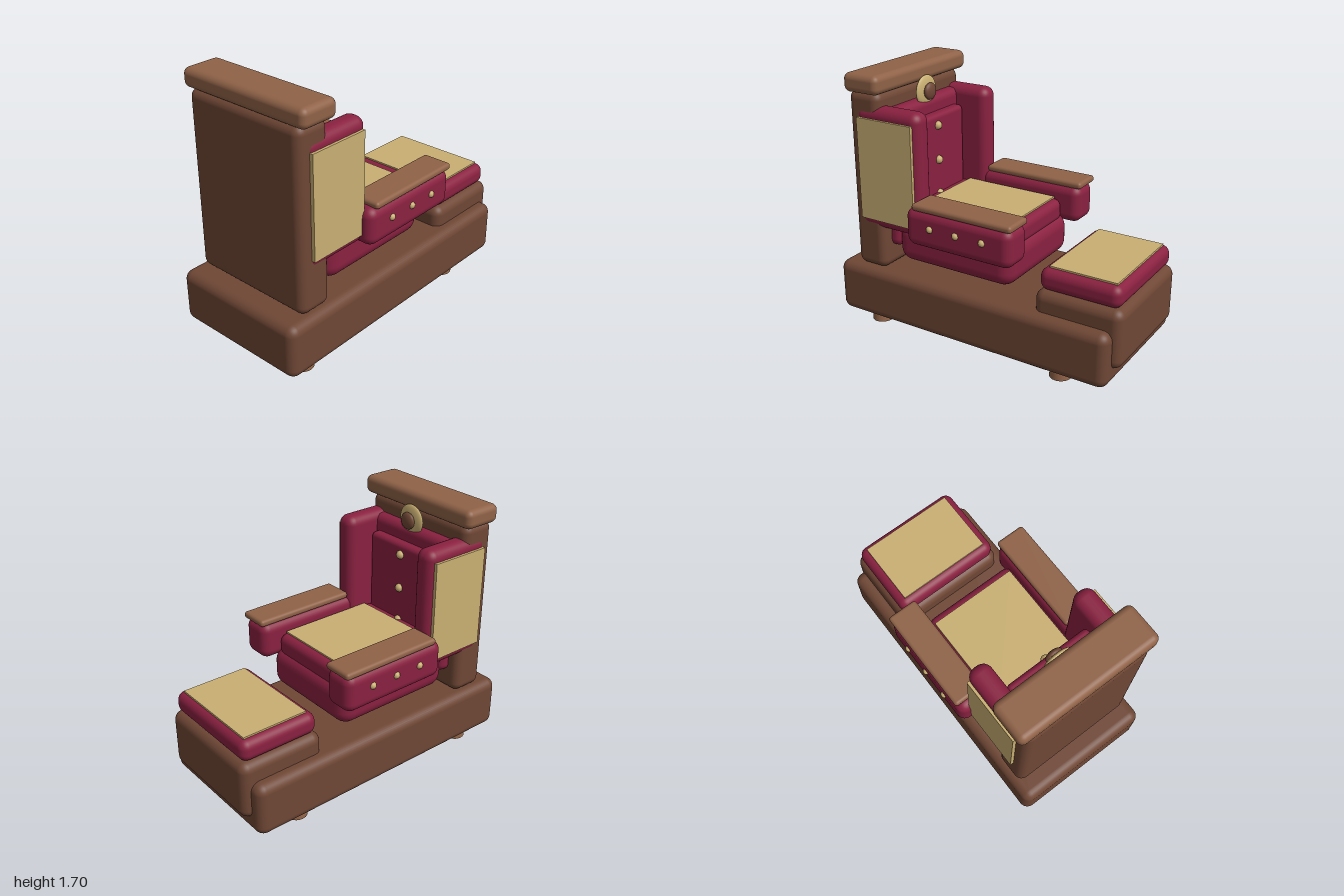
import * as THREE from 'three';
import { RoundedBoxGeometry } from 'three/addons/geometries/RoundedBoxGeometry.js';

const mat = (name, color) => {
  const m = new THREE.MeshStandardMaterial({ color });
  m.name = name;
  return m;
};

export function createModel() {
  const model = new THREE.Group();
  model.name = 'armchair';
  const darkWood = mat('dark wood', 0x6f4735);
  const lightWood = mat('light wood', 0x8f6247);
  const burgundy = mat('burgundy leather', 0x8a2141);
  const gold = mat('gold cloth', 0xc9af72);

  const add = (name, geometry, material, x = 0, y = 0, z = 0) => {
    const mesh = new THREE.Mesh(geometry, material);
    mesh.name = name;
    mesh.position.set(x, y, z);
    model.add(mesh);
    return mesh;
  };
  // Box given by its bounds; r > 0 rounds the edges
  const block = (name, material, [x0, x1], [y0, y1], [z0, z1], r = 0) => {
    const size = [x1 - x0, y1 - y0, z1 - z0];
    const geometry = r ? new RoundedBoxGeometry(...size, 4, r) : new THREE.BoxGeometry(...size);
    return add(name, geometry, material, (x0 + x1) / 2, (y0 + y1) / 2, (z0 + z1) / 2);
  };
  const stud = (name, r, x, y, z) => add(name, new THREE.SphereGeometry(r, 16, 12), gold, x, y, z);

  // Plinth, back board and top rail
  block('base', darkWood, [-0.47, 0.47], [0.08, 0.43], [-0.95, 1], 0.06);
  block('backBoard', darkWood, [-0.43, 0.43], [0.43, 1.59], [0.64, 0.87], 0.055);
  block('topRail', lightWood, [-0.47, 0.47], [1.58, 1.7], [0.61, 0.87], 0.04);

  // Seat
  block('seatBase', burgundy, [-0.37, 0.37], [0.49, 0.76], [-0.26, 0.59], 0.09);
  block('seatCushion', burgundy, [-0.32, 0.32], [0.71, 0.86], [-0.235, 0.55], 0.05);
  block('seatPanel', gold, [-0.295, 0.295], [0.85, 0.87], [-0.185, 0.47]);

  // Upholstered back with a row of buttons
  block('backPad', burgundy, [-0.35, 0.35], [0.57, 1.48], [0.57, 0.7], 0.05);
  block('backCushion', burgundy, [-0.29, 0.29], [0.72, 1.38], [0.51, 0.62], 0.03);
  for (const y of [0.85, 1.08, 1.31]) stud('backButton', 0.028, 0, y, 0.51);

  // Round ornament above the back
  add('ornamentDisc', new THREE.SphereGeometry(0.1, 32, 20), gold, 0, 1.525, 0.595).scale.z = 0.25;
  add('ornamentCentre', new THREE.SphereGeometry(0.055, 24, 16), darkWood, 0, 1.525, 0.562).scale.z = 0.45;

  // Footstool
  block('stoolBody', darkWood, [-0.39, 0.39], [0.18, 0.56], [-1, -0.43], 0.06);
  block('stoolCushion', burgundy, [-0.37, 0.37], [0.555, 0.695], [-0.975, -0.45], 0.055);
  block('stoolPanel', gold, [-0.32, 0.32], [0.685, 0.705], [-0.935, -0.5]);

  // Parts on both sides
  for (const s of [-1, 1]) {
    const span = (a, b) => (s > 0 ? [a, b] : [-b, -a]);
    block('wing', burgundy, span(0.295, 0.436), [0.71, 1.5], [0.34, 0.82], 0.06);
    block('wingPanel', gold, span(0.42, 0.453), [0.775, 1.43], [0.38, 0.79]);
    block('arm', burgundy, span(0.31, 0.52), [0.7, 0.945], [-0.35, 0.4], 0.06);
    block('armRest', lightWood, span(0.32, 0.52), [0.935, 0.98], [-0.355, 0.345], 0.02);
    for (const z of [-0.16, 0.025, 0.21]) stud('armStud', 0.023, s * 0.515, 0.84, z);
    const foot = new THREE.CylinderGeometry(0.06, 0.07, 0.1, 20);
    for (const z of [0.775, -0.59]) add('foot', foot, lightWood, s * 0.32, 0.05, z);
    add('stoolFoot', new THREE.CylinderGeometry(0.05, 0.058, 0.16, 20), lightWood, s * 0.28, 0.1, -0.715);
  }
  return model;
}
